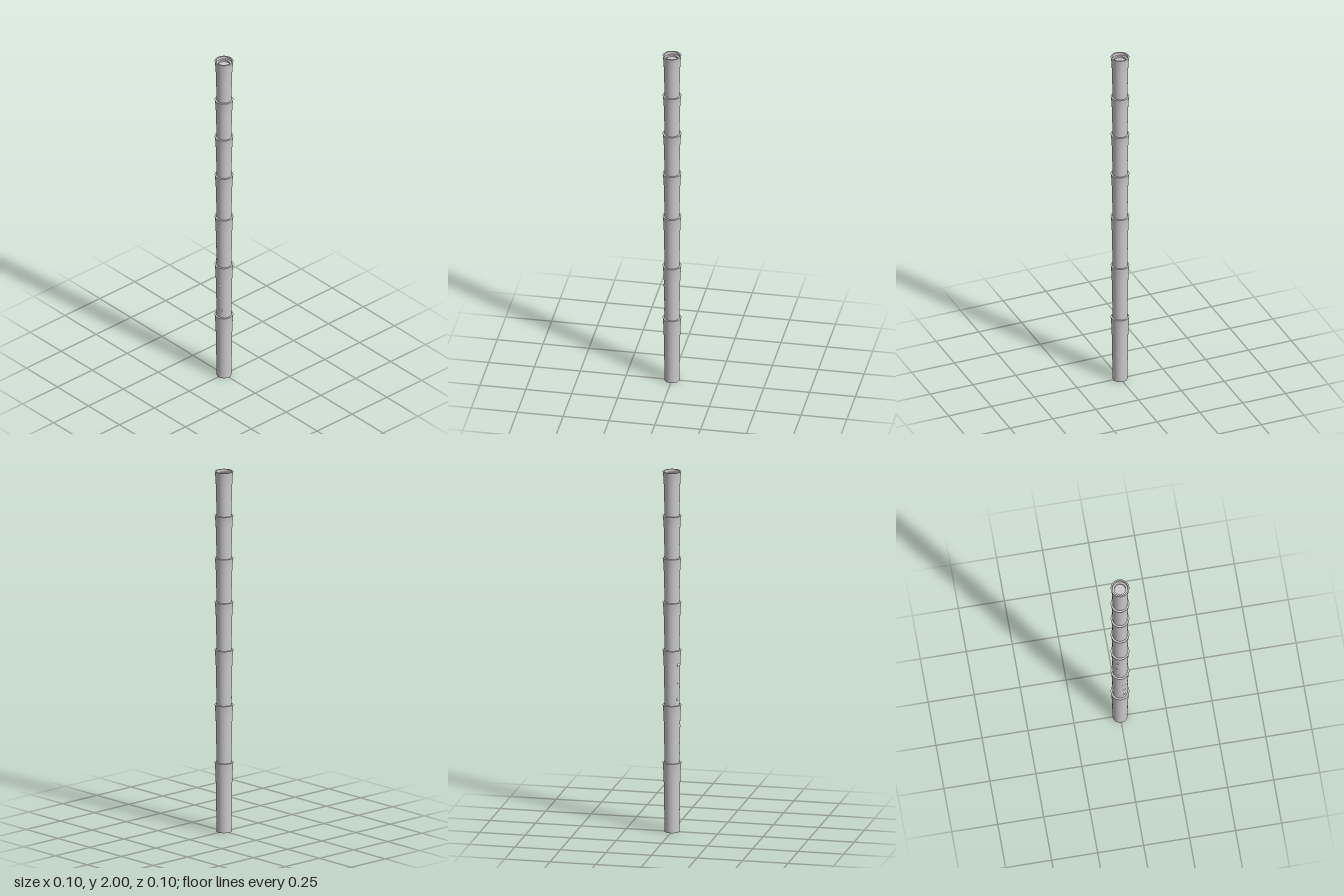
import * as THREE from 'three';

const SIDES = 48;
// Heights of the bamboo joints, bottom to top
const JOINTS = [0, 0.385, 0.705, 1.01, 1.275, 1.52, 1.755, 2];

export function createModel() {
  const model = new THREE.Group();
  model.name = 'bambooFlute';
  const material = new THREE.MeshStandardMaterial({ color: 0xcccccc, side: THREE.DoubleSide });

  const add = (name, geometry, parent = model) => {
    const mesh = new THREE.Mesh(geometry, material);
    mesh.name = name;
    parent.add(mesh);
    return mesh;
  };
  const lathe = points => new THREE.LatheGeometry(points.map(p => new THREE.Vector2(...p)), SIDES);

  // Wall radius grows slowly along a section, then flares at its joint
  const wallRadius = t => 0.04 + 0.005 * t + 0.005 * t ** 6;

  // Stacked sections, each with a flat lip at its upper end
  for (let i = 0; i < JOINTS.length - 1; i++) {
    const y0 = JOINTS[i], y1 = JOINTS[i + 1];
    const section = new THREE.Group();
    section.name = 'section' + (i + 1);
    model.add(section);
    const wall = [];
    for (let k = 0; k <= 16; k++) {
      const t = k / 16;
      wall.push([wallRadius(t), y0 + (y1 - y0) * t]);
    }
    add('wall', lathe(wall), section);
    if (i < JOINTS.length - 2) add('jointLip', lathe([[0.05, y1], [0.038, y1]]), section);
  }

  // Closed bottom end
  add('bottomCap', lathe([[0, 0], [0.04, 0]]));

  // Open top end: rim, stepped recess and floor
  add('topRim', lathe([[0.05, 2], [0.042, 2]]));
  add('recessWall', lathe([[0.042, 2], [0.041, 1.985]]));
  add('recessStep', lathe([[0.041, 1.985], [0.03, 1.985]]));
  add('boreWall', lathe([[0.03, 1.985], [0.03, 1.975]]));
  add('boreFloor', lathe([[0.03, 1.975], [0, 1.975]]));

  // Two rows of small raised finger stops on the front
  const rows = [
    { name: 'upperFingerStop', angle: -0.45, heights: [0.93, 0.835, 0.74] },
    { name: 'lowerFingerStop', angle: 0.37, heights: [0.585, 0.505, 0.43] },
  ];
  for (const { name, angle, heights } of rows) {
    heights.forEach((y, i) => {
      const j = JOINTS.findIndex(h => h > y);
      const r = wallRadius((y - JOINTS[j - 1]) / (JOINTS[j] - JOINTS[j - 1])) - 0.001;
      const stop = add(name + (i + 1), new THREE.SphereGeometry(0.01, 20, 12));
      stop.scale.z = 0.35;
      stop.rotation.y = angle;
      stop.position.set(Math.sin(angle) * r, y, Math.cos(angle) * r);
    });
  }
  return model;
}
